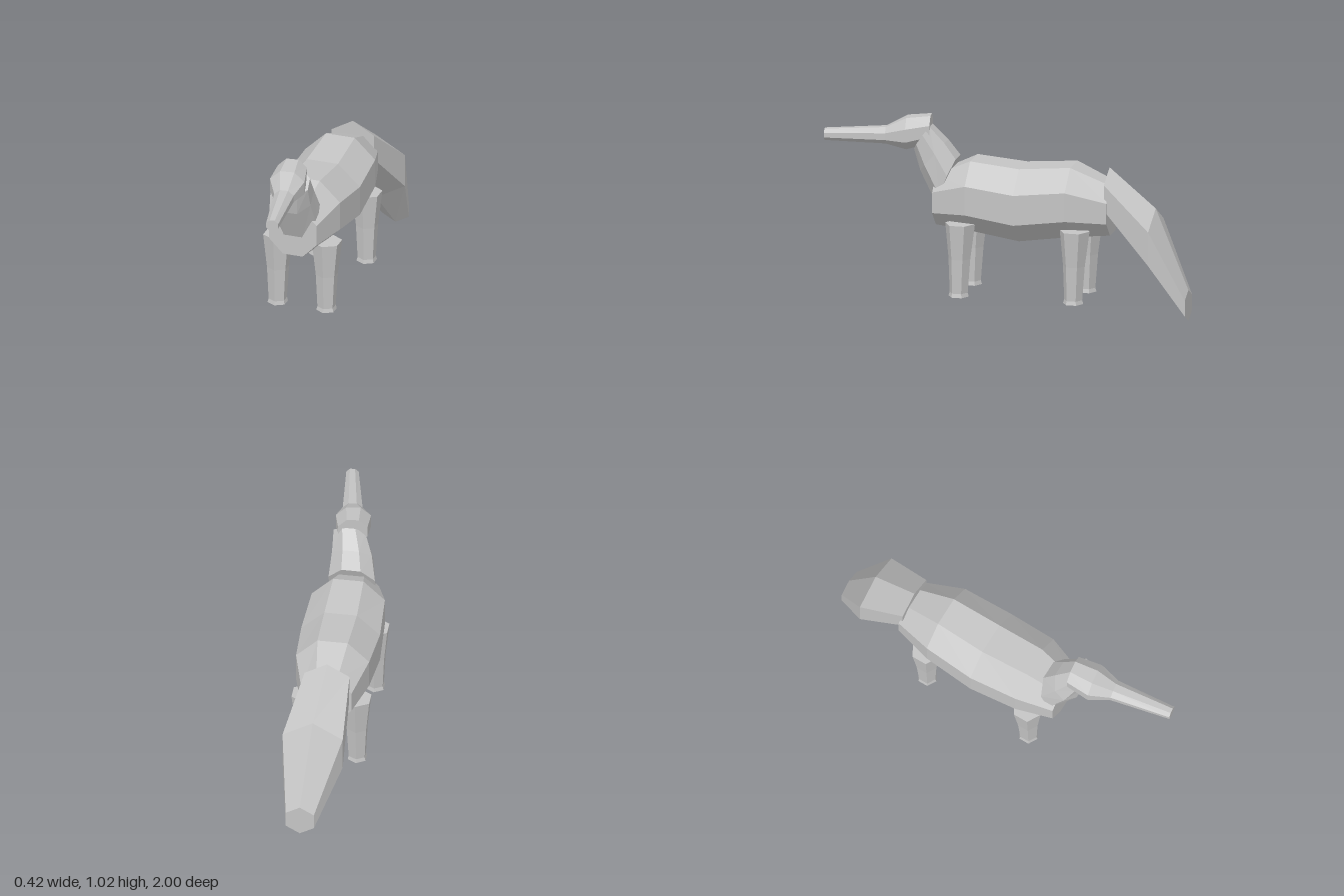
import * as THREE from 'three';

const grey = new THREE.MeshStandardMaterial({ color: 0xc4c4c4, flatShading: true });
grey.name = 'lightGrey';

// Polygon ring: centre, half sizes across the flats, tilt about x, turn about y
function ring(n, [x, y, z, ax, ay, pitch = 0, yaw = 0]) {
  const k = 1 / Math.cos(Math.PI / n);
  const turn = new THREE.Euler(pitch, yaw, 0, 'YXZ');
  return Array.from({ length: n }, (_, i) => {
    const a = ((i + 0.5) / n) * Math.PI * 2;
    return new THREE.Vector3(Math.cos(a) * ax * k, Math.sin(a) * ay * k, 0)
      .applyEuler(turn)
      .add(new THREE.Vector3(x, y, z));
  });
}

// Faceted, capped skin through a row of rings
function loft(name, n, sections) {
  const rings = sections.map((s) => ring(n, s));
  const pos = [];
  const tri = (...pts) => pts.forEach((p) => pos.push(p.x, p.y, p.z));
  for (let r = 0; r < rings.length - 1; r++) {
    const a = rings[r], b = rings[r + 1];
    for (let i = 0; i < n; i++) {
      const j = (i + 1) % n;
      tri(a[i], a[j], b[j]);
      tri(a[i], b[j], b[i]);
    }
  }
  const first = rings[0], last = rings[rings.length - 1];
  for (let i = 1; i < n - 1; i++) {
    tri(first[0], first[i + 1], first[i]);
    tri(last[0], last[i], last[i + 1]);
  }
  const geo = new THREE.BufferGeometry();
  geo.setAttribute('position', new THREE.Float32BufferAttribute(pos, 3));
  geo.computeVertexNormals();
  const mesh = new THREE.Mesh(geo, grey);
  mesh.name = name;
  return mesh;
}

export function createModel() {
  const model = new THREE.Group();
  model.name = 'anteater';

  // Barrel body, rump to chest
  model.add(loft('body', 8, [
    [0, 0.573, -0.563, 0.135, 0.137],
    [0, 0.61, -0.35, 0.197, 0.19],
    [0, 0.578, -0.07, 0.212, 0.198],
    [0, 0.61, 0.2, 0.197, 0.19],
    [0, 0.573, 0.395, 0.135, 0.137],
  ]));

  // Neck rising forward from the shoulders
  model.add(loft('neck', 8, [
    [0, 0.667, 0.338, 0.125, 0.14, -0.37],
    [0.01, 0.805, 0.415, 0.107, 0.102, -0.71],
    [0.033, 0.91, 0.47, 0.085, 0.075, -0.6],
  ]));

  // Head and long snout, turned slightly to its left
  const yaw = 0.13;
  model.add(loft('headAndSnout', 8, [
    [0.012, 0.951, 0.432, 0.079, 0.074, 0, yaw],
    [0.028, 0.925, 0.56, 0.094, 0.086, 0, yaw],
    [0.049, 0.91, 0.67, 0.053, 0.045, 0, yaw],
    [0.1, 0.905, 0.995, 0.033, 0.031, 0, yaw],
  ]));

  // Bushy drooping tail, tip to root
  model.add(loft('tail', 6, [
    [0.077, 0.086, -1, 0.076, 0.074],
    [0.037, 0.412, -0.81, 0.162, 0.16],
    [0, 0.657, -0.546, 0.121, 0.121],
  ]));

  // Four tapered legs with flared feet
  for (const [name, z, footZ] of [['frontLeg', 0.24, 0.248], ['backLeg', -0.39, -0.382]]) {
    for (const side of [-1, 1]) {
      const at = (y, w, pz) => [side * 0.138, y, pz, w, w, -Math.PI / 2];
      model.add(loft(name + (side > 0 ? 'Left' : 'Right'), 6, [
        at(0.072, 0.048, footZ),
        at(0.093, 0.043, footZ),
        at(0.28, 0.052, (z + footZ) / 2),
        at(0.472, 0.071, z),
      ]));
    }
  }
  return model;
}
